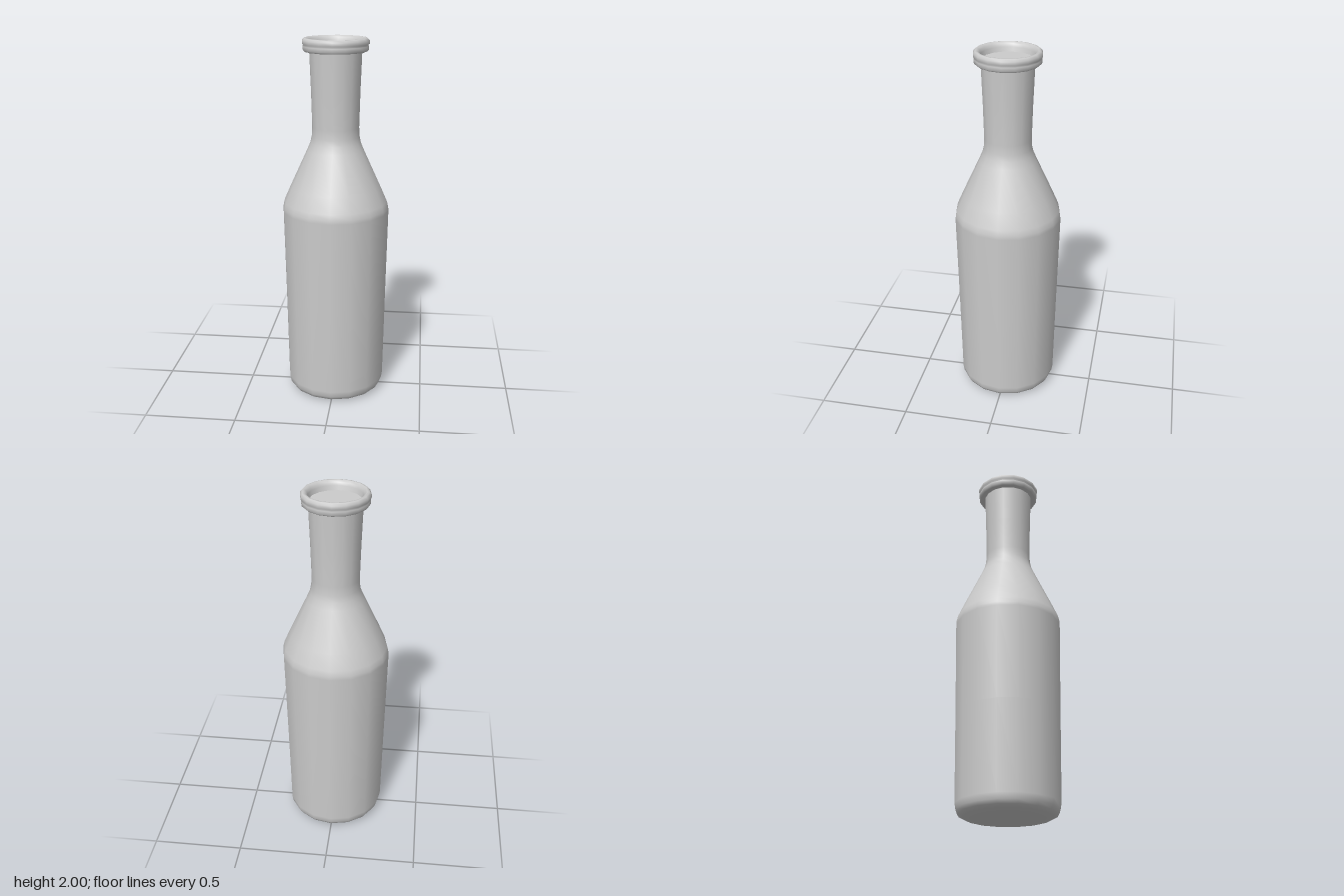
import * as THREE from 'three';

const SIDES = 16;
const material = new THREE.MeshStandardMaterial({ color: 0xcccccc });

// Revolve a [radius, height] profile, listed so that its faces look outward
function turned(name, profile) {
  const points = profile.map(([r, y]) => new THREE.Vector2(r, y));
  const mesh = new THREE.Mesh(new THREE.LatheGeometry(points, SIDES), material);
  mesh.name = name;
  return mesh;
}

// Flat disc at a height, facing up or down
function disc(name, radius, y, up) {
  const geometry = new THREE.CircleGeometry(radius, SIDES);
  geometry.rotateX(up ? -Math.PI / 2 : Math.PI / 2);
  const mesh = new THREE.Mesh(geometry, material);
  mesh.position.y = y;
  mesh.name = name;
  return mesh;
}

export function createModel() {
  const bottle = new THREE.Group();
  bottle.name = 'bottle';

  // Rounded base, slightly flared body, sloping shoulder and neck
  bottle.add(turned('body', [
    [0.2, 0], [0.235, 0.006], [0.258, 0.018], [0.27, 0.038], [0.275, 0.07],
    [0.283, 0.55], [0.293, 1.07], [0.291, 1.09], [0.284, 1.12],
    [0.249, 1.2], [0.155, 1.405], [0.138, 1.445], [0.13, 1.48], [0.127, 1.53],
    [0.132, 1.72], [0.14, 1.935],
  ]));
  bottle.add(disc('baseDisc', 0.2, 0, false));

  // Lip with a shallow groove, rolling over into the mouth
  bottle.add(turned('lip', [
    [0.138, 1.93], [0.164, 1.93], [0.174, 1.938], [0.175, 1.958], [0.171, 1.964],
    [0.178, 1.97], [0.178, 1.988], [0.168, 1.999], [0.158, 2.0],
    [0.145, 1.99], [0.14, 1.975], [0.133, 1.95],
  ]));

  // Flat surface closing the mouth just below the rim
  bottle.add(disc('mouthDisc', 0.134, 1.952, true));

  return bottle;
}
